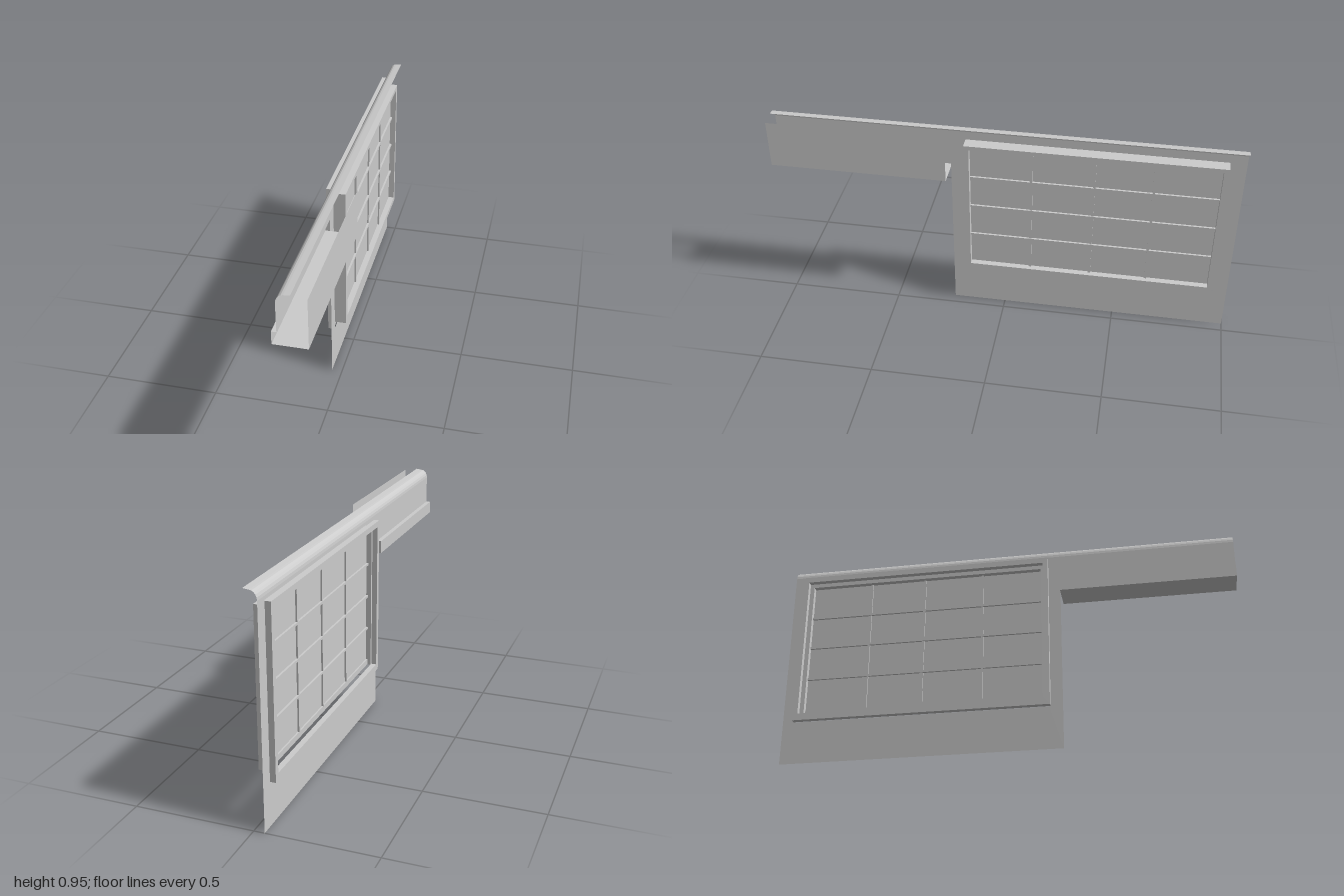
import * as THREE from 'three';

const grey = new THREE.MeshStandardMaterial({ color: 0xcccccc });
const thin = new THREE.MeshStandardMaterial({ color: 0xcccccc, side: THREE.DoubleSide });

// Rectangle path in the wall plane: u = -z, v = y
function rect(PathType, u0, u1, v0, v1) {
  const p = new PathType();
  p.moveTo(u0, v0);
  p.lineTo(u1, v0);
  p.lineTo(u1, v1);
  p.lineTo(u0, v1);
  p.closePath();
  return p;
}

// Turns a shape in the (u, v) plane to face +x at the given x
function facing(geometry, x) {
  return geometry.rotateY(Math.PI / 2).translate(x, 0, 0);
}

// Sheet metal: an open (x, y) profile swept along z
function sheet(profile, z0, z1) {
  const pos = [];
  for (let i = 0; i < profile.length - 1; i++) {
    const [ax, ay] = profile[i];
    const [bx, by] = profile[i + 1];
    pos.push(ax, ay, z0, bx, by, z0, bx, by, z1, ax, ay, z0, bx, by, z1, ax, ay, z1);
  }
  const g = new THREE.BufferGeometry();
  g.setAttribute('position', new THREE.Float32BufferAttribute(pos, 3));
  g.computeVertexNormals();
  return g;
}

export function createModel() {
  const model = new THREE.Group();
  const add = (name, geometry, material = grey) => {
    const mesh = new THREE.Mesh(geometry, material);
    mesh.name = name;
    model.add(mesh);
    return mesh;
  };
  const box = (name, x0, x1, y0, y1, z0, z1) =>
    add(name, new THREE.BoxGeometry(x1 - x0, y1 - y0, z1 - z0)
      .translate((x0 + x1) / 2, (y0 + y1) / 2, (z0 + z1) / 2));

  const wallX = -0.045, wallTop = 0.91, wallEnd = 0.235;

  // Thin wall with the window opening
  const wall = rect(THREE.Shape, -wallEnd, 1, 0, wallTop);
  wall.holes.push(rect(THREE.Path, -0.175, 0.94, 0.19, 0.895));
  add('wallPanel', facing(new THREE.ShapeGeometry(wall), wallX), thin);

  // Rounded lip along the whole top edge
  const lip = [[wallX, wallTop]];
  for (let i = 1; i <= 5; i++) {
    const a = (i / 5) * Math.PI / 2;
    lip.push([wallX + 0.03 * (1 - Math.cos(a)), wallTop + 0.037 * Math.sin(a)]);
  }
  lip.push([0.01, 0.95]);
  add('topLip', sheet(lip, -1, 1), thin);

  // Open channel that carries on past the wall
  add('channel', sheet([
    [0.07, 0.94], [0.07, 0.73], [-0.065, 0.73],
    [-0.065, 0.785], [wallX, 0.785], [wallX, wallTop],
  ], wallEnd, 1), thin);
  add('channelStepEnd', facing(new THREE.PlaneGeometry(0.02, 0.055), 0)
    .rotateY(Math.PI / 2).translate(-0.055, 0.7575, wallEnd), thin);

  // Window trim on the outer face of the wall
  const trim = rect(THREE.Shape, -0.183, 0.95, 0.19, 0.895);
  trim.holes.push(rect(THREE.Path, -0.16, 0.927, 0.22, 0.87));
  add('windowTrim', facing(
    new THREE.ExtrudeGeometry(trim, { depth: 0.024, bevelEnabled: false }), -0.073));

  // Deep window frame; the sill stops short of the trim
  box('frameTop', -0.05, 0.005, 0.852, 0.87, -0.93, 0.17);
  box('frameSill', -0.034, 0.005, 0.22, 0.245, -0.93, 0.17);
  box('frameSideFront', -0.05, 0.005, 0.22, 0.852, 0.148, 0.17);
  box('frameSideBack', -0.05, 0.005, 0.22, 0.852, -0.93, -0.908);

  // Pane and its grid of bars
  box('pane', -0.027, -0.022, 0.24, 0.855, -0.91, 0.15);
  for (const z of [-0.118, -0.385, -0.635]) {
    box('uprightBar', -0.034, -0.015, 0.245, 0.852, z - 0.005, z + 0.005);
  }
  for (const y of [0.398, 0.551, 0.7]) {
    box('crossBar', -0.036, -0.013, y - 0.005, y + 0.005, -0.908, 0.148);
  }

  return model;
}
